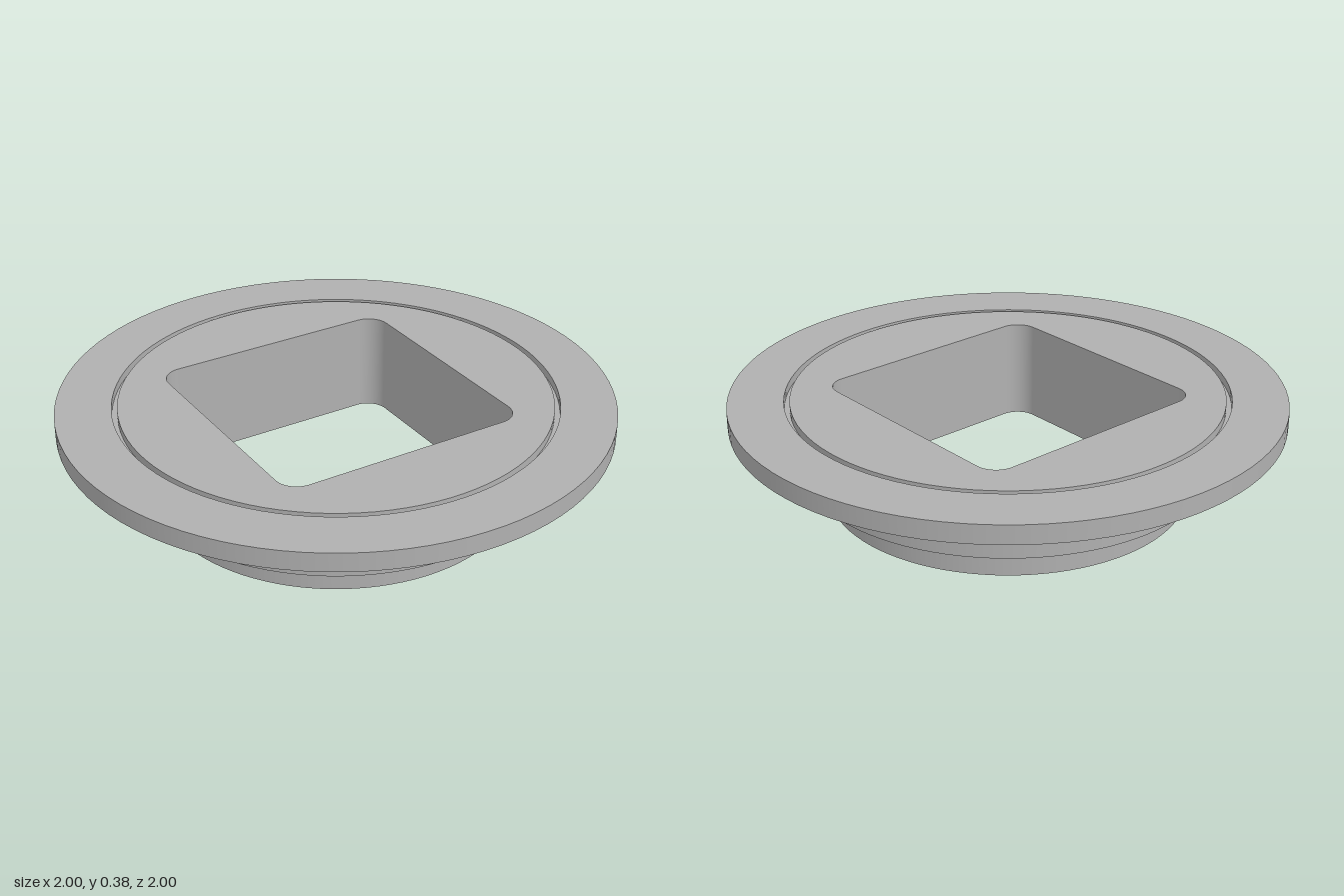
import * as THREE from 'three';
import { mergeGeometries } from 'three/addons/utils/BufferGeometryUtils.js';

const SEGMENTS = 96;
const HEIGHT = 0.38;

// Revolve each profile segment separately, so every step keeps a sharp edge
function steppedLathe(profile) {
  const points = profile.map(([r, y]) => new THREE.Vector2(r, y));
  const bands = [];
  for (let i = 0; i < points.length - 1; i++) {
    bands.push(new THREE.LatheGeometry([points[i], points[i + 1]], SEGMENTS));
  }
  return mergeGeometries(bands);
}

// Rounded square outline with its inward normals
function roundedSquare(half, radius, steps = 10) {
  const outline = [];
  for (let corner = 0; corner < 4; corner++) {
    const mid = (corner + 0.5) * Math.PI / 2;
    const cx = Math.sign(Math.cos(mid)) * (half - radius);
    const cz = Math.sign(Math.sin(mid)) * (half - radius);
    for (let i = 0; i <= steps; i++) {
      const a = (corner + i / steps) * Math.PI / 2;
      const nx = Math.cos(a), nz = Math.sin(a);
      outline.push({ x: cx + radius * nx, z: cz + radius * nz, nx: -nx, nz: -nz });
    }
  }
  return outline;
}

// Flat disc with the square opening cut out
function capGeometry(radius, outline) {
  const shape = new THREE.Shape().absarc(0, 0, radius, 0, Math.PI * 2, false);
  shape.holes.push(new THREE.Path(outline.map(p => new THREE.Vector2(p.x, p.z))));
  return new THREE.ShapeGeometry(shape, SEGMENTS / 2);
}

// Inner wall of the square opening
function openingGeometry(outline) {
  const positions = [], normals = [], index = [];
  const n = outline.length;
  outline.forEach((p, i) => {
    positions.push(p.x, 0, p.z, p.x, HEIGHT, p.z);
    normals.push(p.nx, 0, p.nz, p.nx, 0, p.nz);
    const a = 2 * i, b = 2 * ((i + 1) % n);
    index.push(a, b, a + 1, b, b + 1, a + 1);
  });
  const geometry = new THREE.BufferGeometry();
  geometry.setAttribute('position', new THREE.Float32BufferAttribute(positions, 3));
  geometry.setAttribute('normal', new THREE.Float32BufferAttribute(normals, 3));
  geometry.setIndex(index);
  return geometry;
}

export function createModel() {
  const group = new THREE.Group();
  group.name = 'flangedRing';
  const grey = new THREE.MeshStandardMaterial({ color: 0xb0b0b0 });
  grey.name = 'grey';

  const add = (name, geometry) => {
    const mesh = new THREE.Mesh(geometry, grey);
    mesh.name = name;
    group.add(mesh);
  };

  // Stepped body, from the foot up to the flange
  add('steppedBody', steppedLathe([
    [0.66, 0], [0.66, 0.08], [0.70, 0.12], [0.755, 0.12], [0.755, 0.27],
    [0.85, 0.27], [0.85, 0.31], [1, 0.31], [1, HEIGHT], [0.8, HEIGHT],
  ]));

  // Narrow groove in the top face
  add('topGroove', steppedLathe([
    [0.8, HEIGHT], [0.8, HEIGHT - 0.03], [0.78, HEIGHT - 0.03], [0.78, HEIGHT],
  ]));

  // Square opening and the faces around it
  const outline = roundedSquare(0.473, 0.08);
  add('openingWall', openingGeometry(outline));
  add('topFace', capGeometry(0.78, outline).rotateX(-Math.PI / 2).translate(0, HEIGHT, 0));
  add('bottomFace', capGeometry(0.66, outline).rotateX(Math.PI / 2));

  return group;
}
